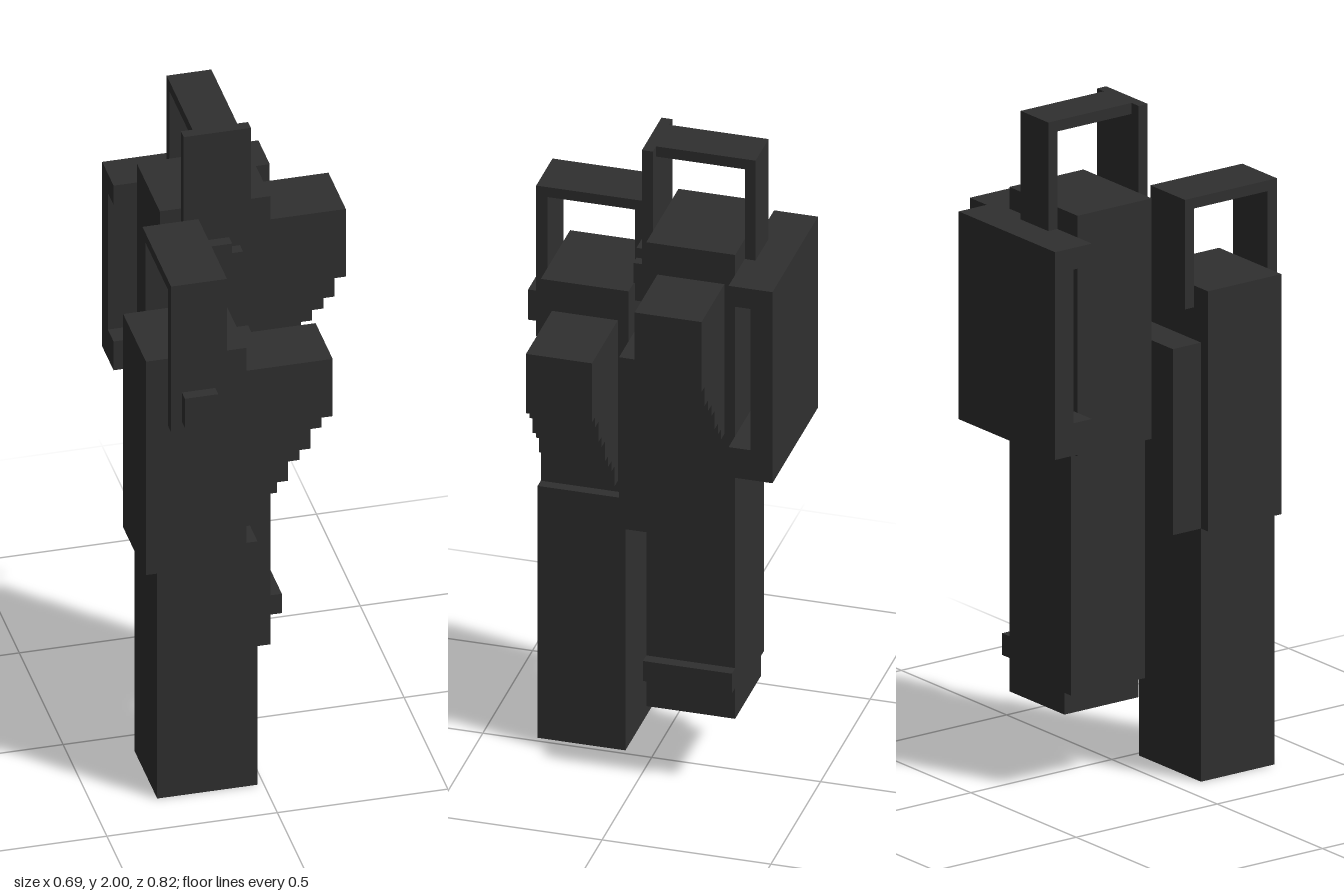
import * as THREE from 'three';

const charcoal = new THREE.MeshStandardMaterial({ color: 0x303030 });
charcoal.name = 'charcoal';

// Box given by its limits on each axis
function box(parent, name, [x0, x1], [y0, y1], [z0, z1]) {
  const mesh = new THREE.Mesh(new THREE.BoxGeometry(x1 - x0, y1 - y0, z1 - z0), charcoal);
  mesh.position.set((x0 + x1) / 2, (y0 + y1) / 2, (z0 + z1) / 2);
  mesh.name = name;
  parent.add(mesh);
}

// Side block whose underside climbs outwards in steps
function steppedBlock(parent, name, x0, x1, top, bottoms, [z0, z1]) {
  const w = (x1 - x0) / bottoms.length;
  const shape = new THREE.Shape();
  shape.moveTo(x0, top);
  bottoms.forEach((b, i) => {
    shape.lineTo(x0 + i * w, b);
    shape.lineTo(x0 + (i + 1) * w, b);
  });
  shape.lineTo(x1, top);
  const geo = new THREE.ExtrudeGeometry(shape, { depth: z1 - z0, bevelEnabled: false });
  geo.translate(0, 0, z0);
  const mesh = new THREE.Mesh(geo, charcoal);
  mesh.name = name;
  parent.add(mesh);
}

export function createModel() {
  const model = new THREE.Group();
  model.name = 'twinPods';

  // Front pod: leg, body, handle and button
  const front = new THREE.Group();
  front.name = 'frontPod';
  const fz = [0.083, 0.343];
  box(front, 'frontLeg', [-0.312, -0.018], [0, 0.82], fz);
  box(front, 'frontBody', [-0.345, -0.05], [0.758, 1.477], fz);
  const fh = [-0.28, -0.116];
  box(front, 'frontHandlePlate', fh, [1.25, 1.74], [0.343, 0.376]);
  box(front, 'frontHandleBar', fh, [1.708, 1.74], fz);
  box(front, 'frontHandleRearPost', fh, [1.412, 1.74], [0.05, 0.083]);
  box(front, 'frontButton', [-0.248, -0.15], [1.28, 1.378], [0.376, 0.41]);
  steppedBlock(front, 'frontSteppedBlock', -0.05, 0.211, 1.378,
    [0.855, 0.92, 0.953, 0.988, 1.053, 1.086, 1.152, 1.185], [0.115, 0.31]);

  // Rear pod: leg, body, side ledge
  const rear = new THREE.Group();
  rear.name = 'rearPod';
  const rz = [-0.28, -0.017];
  box(rear, 'rearFoot', [-0.15, 0.112], [0.23, 0.3], rz);
  box(rear, 'rearLeg', [-0.18, 0.112], [0.295, 1.08], rz);
  box(rear, 'rearBody', [-0.212, 0.112], [1.02, 1.74], rz);
  box(rear, 'rearLedge', [0.112, 0.146], [0.33, 0.395], rz);
  steppedBlock(rear, 'rearSteppedBlock', 0.112, 0.342, 1.64,
    [1.152, 1.185, 1.22, 1.28, 1.315, 1.35, 1.412], [-0.248, -0.05]);

  // Rear handle with its latch
  const rh = [-0.116, 0.015];
  box(rear, 'rearHandlePlate', [-0.15, 0.047], [1.477, 2], [-0.017, 0.015]);
  box(rear, 'rearHandleBar', rh, [1.967, 2], rz);
  box(rear, 'rearHandleRearPost', rh, [1.61, 2], [-0.312, -0.28]);
  box(rear, 'latchBase', rh, [1.545, 1.61], [0.015, 0.05]);
  box(rear, 'latchTop', [-0.083, -0.017], [1.61, 1.642], [0.015, 0.05]);

  // Back plate held off the body by two spacers
  const bx = [-0.28, 0.178];
  box(rear, 'backPlate', bx, [1.053, 1.675], [-0.41, -0.345]);
  box(rear, 'backSpacerTop', bx, [1.61, 1.675], [-0.345, -0.28]);
  box(rear, 'backSpacerBottom', bx, [1.053, 1.15], [-0.345, -0.28]);

  // Block joining the two pods
  box(model, 'connector', [-0.312, 0.047], [0.758, 1.315], [-0.017, 0.083]);

  model.add(front, rear);
  return model;
}
